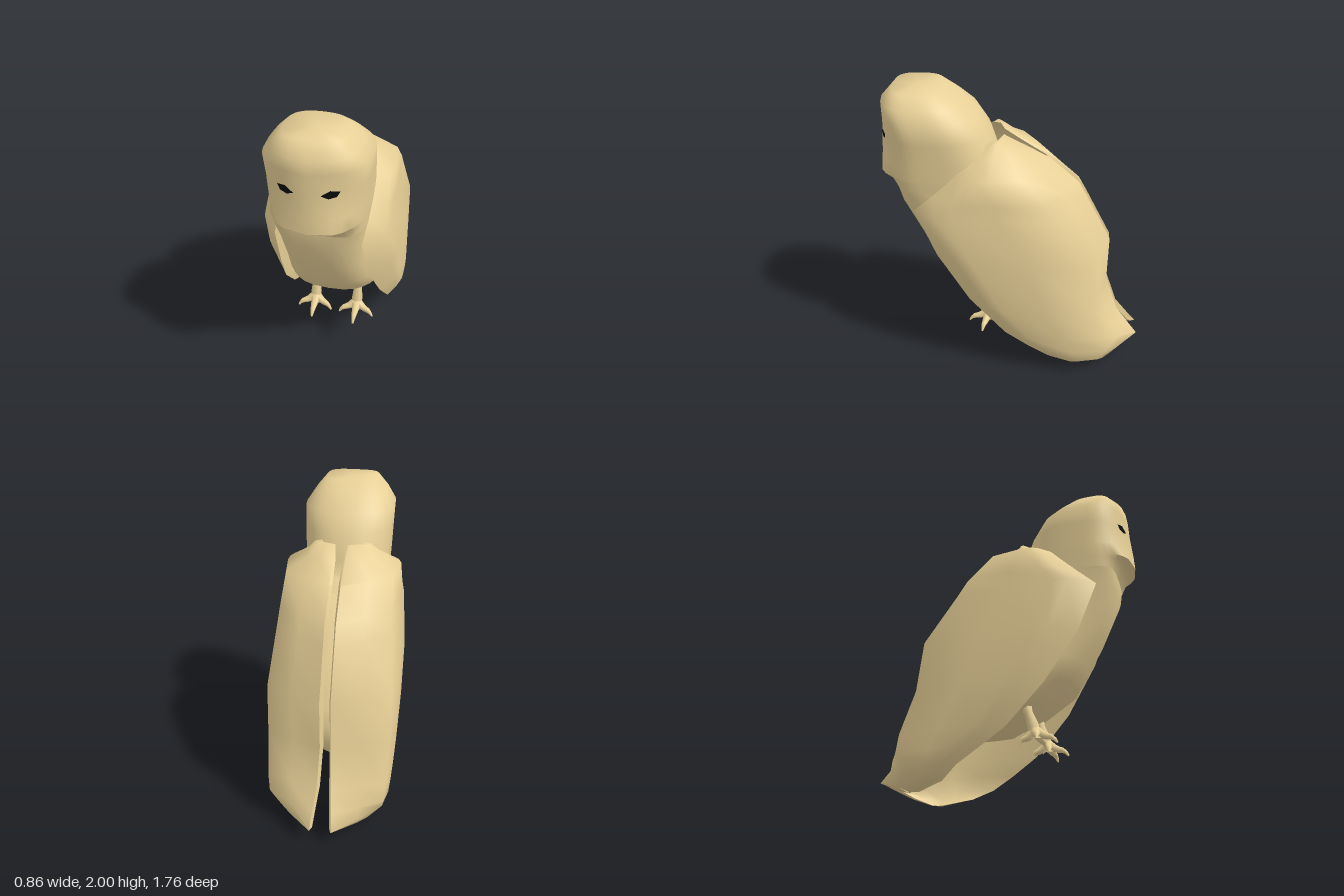
import * as THREE from 'three';
import { toCreasedNormals } from 'three/addons/utils/BufferGeometryUtils.js';

const tan = new THREE.MeshStandardMaterial({ color: 0xe8d097 });
const black = new THREE.MeshStandardMaterial({ color: 0x0a0a0a, side: THREE.DoubleSide });

function mesh(name, geometry, material = tan) {
  const m = new THREE.Mesh(geometry, material);
  m.name = name;
  return m;
}

// Skin over closed rings of [x, y, z], listed from top to bottom
function loft(rings, crease, capTop = true, capBottom = true) {
  const n = rings[0].length;
  const pos = rings.flat(2);
  const idx = [];
  for (let i = 0; i < rings.length - 1; i++) {
    for (let j = 0; j < n; j++) {
      const a = i * n + j, b = i * n + (j + 1) % n;
      idx.push(a, b, a + n, b, b + n, a + n);
    }
  }
  const cap = (row, flip) => {
    const c = pos.length / 3;
    for (let k = 0; k < 3; k++) pos.push(rings[row].reduce((s, p) => s + p[k], 0) / n);
    for (let j = 0; j < n; j++) {
      const a = row * n + j, b = row * n + (j + 1) % n;
      idx.push(c, flip ? b : a, flip ? a : b);
    }
  };
  if (capTop) cap(0, true);
  if (capBottom) cap(rings.length - 1, false);
  const g = new THREE.BufferGeometry();
  g.setAttribute('position', new THREE.Float32BufferAttribute(pos, 3));
  g.setIndex(idx);
  return toCreasedNormals(g, crease);
}

// Front surface of a ring at x: a squarish oval plus a face bulge that fades towards the sides
function frontZ([, zf, zb, w, e, , bulge = 0, fade = 1], x) {
  const u = Math.min(1, Math.abs(x) / w);
  const oval = (1 - u ** e) ** (1 / e);
  return (zf + zb) / 2 + oval * (zf - zb) / 2 + bulge * Math.max(0, 1 - (Math.abs(x) / 0.26) ** fade);
}

// Horizontal ring: height, front z, back z, half width, front and back squareness, bulge, fade
function ovalRing(row) {
  const [y, zf, zb, w, e, eBack] = row;
  const ring = [];
  for (let j = 0; j < 32; j++) {
    const a = (j / 32) * Math.PI * 2;
    const c = Math.cos(a), s = Math.sin(a);
    const x = Math.sign(c) * Math.abs(c) ** (2 / (s > 0 ? e : eBack)) * w;
    const back = (zf + zb) / 2 - Math.abs(s) ** (2 / eBack) * (zf - zb) / 2;
    ring.push([x, y, s > 0.01 ? frontZ(row, x) : back]);
  }
  return ring;
}

// Wing cross-section: a shell from the front edge round the flank to the inner back edge
function wingRing([y, zf, zb, xf, xo, xi, k], side) {
  const L = zf - zb, t = Math.min(0.1, (xo - xi) * 0.3), xm = (xi + xo) / 2;
  const flank = Math.min(k + 0.33, 0.7);
  const pts = [
    [xf, zf], [xo - 0.02, zf - 0.14 * L], [xo, zf - 0.23 * L], [xo, zb + flank * L],
    [xo - 0.03, zb + k * L], [xm, zb + k * 0.48 * L], [xi + 0.015, zb],
    [xi, zb + 0.06 * L], [xm, zb + (k * 0.48 + 0.1) * L], [xo - t, zb + (k + 0.14) * L],
    [xo - t, zf - 0.3 * L],
  ].map(([x, z]) => [x * side, y, z]);
  return side > 0 ? pts.reverse() : pts;
}

// Tube whose radius runs through a list of values along its path
function taperedTube(points, radii) {
  const curve = new THREE.CatmullRomCurve3(points.map(p => new THREE.Vector3(...p)));
  const n = 6, sides = 7;
  const g = new THREE.TubeGeometry(curve, n, 1, sides);
  const p = g.attributes.position, v = new THREE.Vector3();
  for (let i = 0; i < p.count; i++) {
    const t = Math.floor(i / (sides + 1)) / n;
    const c = curve.getPointAt(t);
    const f = t * (radii.length - 1), k = Math.min(Math.floor(f), radii.length - 2);
    const r = THREE.MathUtils.lerp(radii[k], radii[k + 1], f - k);
    v.fromBufferAttribute(p, i).sub(c).multiplyScalar(r).add(c);
    p.setXYZ(i, v.x, v.y, v.z);
  }
  return g;
}

function makeFoot(side) {
  const foot = new THREE.Group();
  const x = 0.15 * side;
  foot.add(mesh('shin', taperedTube(
    [[x, 0.54, 0.13], [x, 0.44, 0.165], [x, 0.36, 0.19], [x, 0.28, 0.205]], [0.045, 0.028, 0.038, 0.036])));
  // Three toes forward, one back
  const tips = [[-0.12, 0.04], [0, 0.14], [0.12, 0.04], [0, -0.11]];
  for (const [dx, dz] of tips) {
    foot.add(mesh('toe', taperedTube([
      [x, 0.335, 0.2], [x + dx * 0.45, 0.3, 0.2 + dz * 0.45],
      [x + dx * 0.8, 0.285, 0.2 + dz * 0.8], [x + dx, 0.25, 0.2 + dz],
    ], [0.038, 0.026, 0.018, 0.006])));
  }
  return foot;
}

// Head section at eye level
const eyeRow = [1.72, 0.775, 0.17, 0.3, 4, 2.2, 0.085, 1.1];

// Flat eye patch pressed onto the rounded face
function makeEye(side) {
  const outline = [[0.075, 1.717], [0.125, 1.747], [0.175, 1.735], [0.157, 1.703], [0.115, 1.695]];
  const g = new THREE.ShapeGeometry(new THREE.Shape(outline.map(([x, y]) => new THREE.Vector2(x * side, y))));
  const p = g.attributes.position;
  for (let i = 0; i < p.count; i++) p.setZ(i, frontZ(eyeRow, p.getX(i)) + 0.008);
  g.computeVertexNormals();
  return mesh(side > 0 ? 'leftEye' : 'rightEye', g, black);
}

export function createModel() {
  const owl = new THREE.Group();
  owl.name = 'owl';

  const neck = [1.38, 0.765, 0.0, 0.283, 4.5, 2.6];
  const headRows = [
    [2.0, 0.765, 0.45, 0.18, 3.5, 2.6],
    [1.92, 0.79, 0.34, 0.25, 3.6, 2.3, 0.055, 1.6],
    [1.84, 0.785, 0.25, 0.305, 4, 2.2, 0.07, 1.3],
    eyeRow,
    [1.56, 0.77, 0.12, 0.293, 4.2, 2.3, 0.105, 1.7],
    [1.47, 0.78, 0.1, 0.288, 4.4, 2.5, 0.1, 2.4],
    [1.455, 0.778, 0.08, 0.287, 4.4, 2.5, 0.04, 2.4],
    neck,
  ];
  owl.add(mesh('head', loft(headRows.map(ovalRing), 1.1, true, false)));

  const bodyRows = [
    neck,
    [1.26, 0.755, -0.16, 0.28, 3.2, 2.6],
    [0.98, 0.63, -0.36, 0.3, 2.8, 2.8],
    [0.78, 0.51, -0.47, 0.33, 2.8, 2.8],
    [0.65, 0.43, -0.51, 0.34, 2.7, 2.7],
    [0.51, 0.22, -0.5, 0.34, 2.4, 2.4],
    [0.355, 0.02, -0.38, 0.03, 2, 2],
  ];
  owl.add(mesh('body', loft(bodyRows.map(ovalRing), 0.9, false, true)));

  // Height, front z, back z, front edge x, outer x, inner x, back corner position
  const wingRows = [
    [1.69, 0.16, 0.08, 0.14, 0.18, 0.04, 0.25],
    [1.62, 0.27, -0.05, 0.2, 0.24, 0.025, 0.28],
    [1.53, 0.37, -0.21, 0.28, 0.38, 0.02, 0.32],
    [1.36, 0.53, -0.4, 0.28, 0.39, 0.02, 0.22],
    [1.25, 0.65, -0.46, 0.265, 0.4, 0.02, 0.18],
    [0.92, 0.52, -0.63, 0.285, 0.43, 0.02, 0.14],
    [0.59, 0.31, -0.63, 0.33, 0.43, 0.02, 0.13],
    [0.32, 0.07, -0.72, 0.35, 0.42, 0.03, 0.14],
    [0.2, -0.1, -0.81, 0.355, 0.41, 0.045, 0.25],
    [0.11, -0.24, -0.88, 0.35, 0.4, 0.055, 0.47],
    [0.04, -0.36, -0.74, 0.27, 0.31, 0.13, 0.3],
    [0, -0.54, -0.62, 0.2, 0.23, 0.18, 0.2],
  ];
  for (const side of [1, -1]) {
    const name = side > 0 ? 'left' : 'right';
    owl.add(mesh(name + 'Wing', loft(wingRows.map(r => wingRing(r, side)), 1.2)));
    owl.add(makeEye(side));
    const foot = makeFoot(side);
    foot.name = name + 'Foot';
    owl.add(foot);
  }
  return owl;
}
